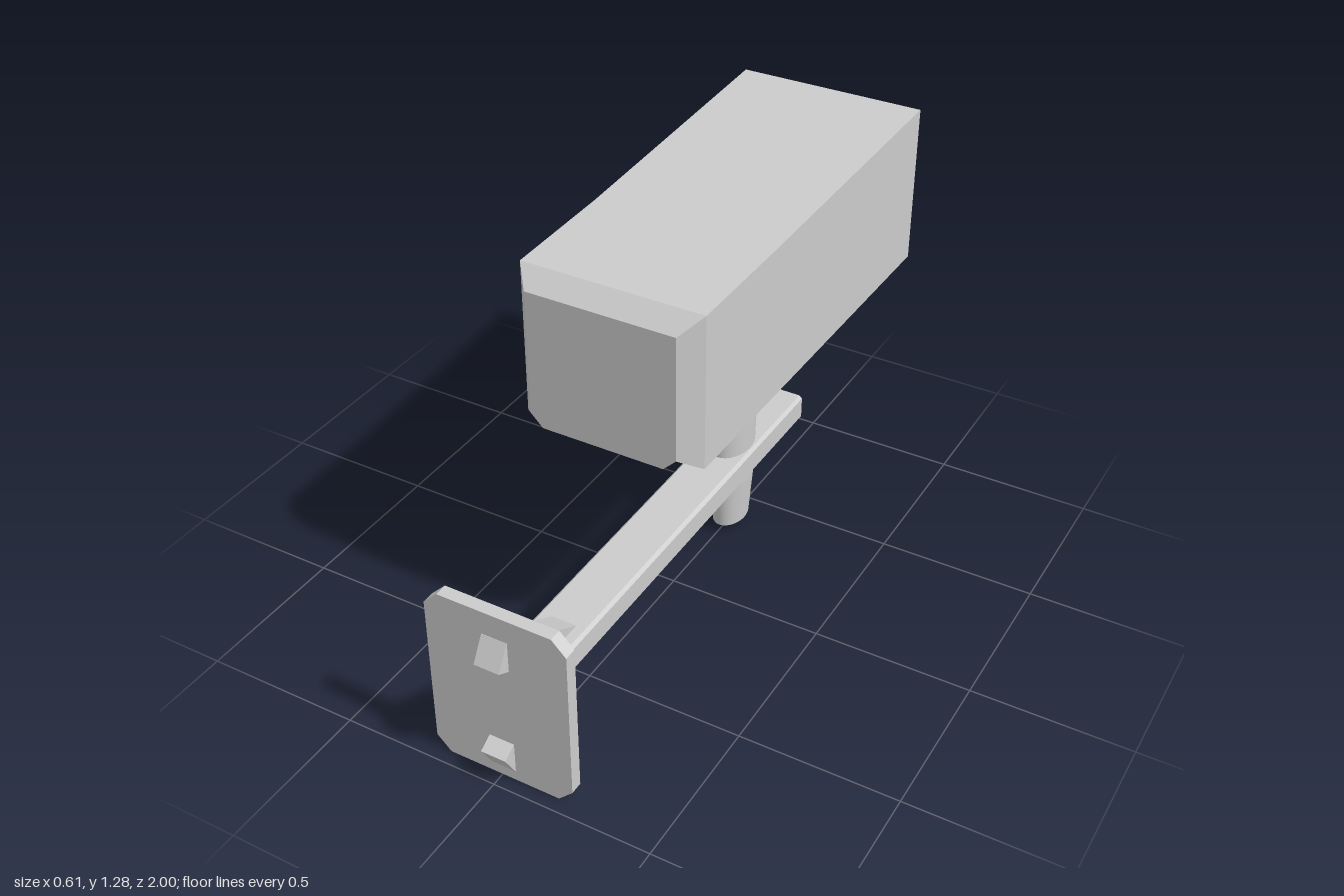
import * as THREE from 'three';

const material = new THREE.MeshStandardMaterial({ color: 0xcccccc });
const sheet = new THREE.MeshStandardMaterial({ color: 0xcccccc, side: THREE.DoubleSide });

function add(parent, name, geometry, mat = material) {
  const mesh = new THREE.Mesh(geometry, mat);
  mesh.name = name;
  parent.add(mesh);
  return mesh;
}

const toShape = (pts) => new THREE.Shape(pts.map(([x, y]) => new THREE.Vector2(x, y)));

// Rectangle with cut corners, counterclockwise; top corners may stay square
function cutRect(x0, x1, y0, y1, c, top = c) {
  const pts = [[x0, y0 + c], [x0 + c, y0], [x1 - c, y0], [x1, y0 + c]];
  if (top > 0) pts.push([x1, y1 - top], [x1 - top, y1], [x0 + top, y1], [x0, y1 - top]);
  else pts.push([x1, y1], [x0, y1]);
  return pts;
}

// Flat-faced skin through cross-sections ordered from front to back
function loft(sections, closed) {
  const v = [];
  for (let s = 0; s + 1 < sections.length; s++) {
    const [a, b] = [sections[s], sections[s + 1]];
    const n = a.pts.length;
    for (let i = 0; i < (closed ? n : n - 1); i++) {
      const j = (i + 1) % n;
      const [ai, aj] = [[...a.pts[i], a.z], [...a.pts[j], a.z]];
      const [bi, bj] = [[...b.pts[i], b.z], [...b.pts[j], b.z]];
      v.push(...ai, ...bi, ...bj, ...ai, ...bj, ...aj);
    }
  }
  const g = new THREE.BufferGeometry();
  g.setAttribute('position', new THREE.Float32BufferAttribute(v, 3));
  g.computeVertexNormals();
  return g;
}

function extrude(pts, z0, z1) {
  const g = new THREE.ExtrudeGeometry(toShape(pts), { depth: z1 - z0, bevelEnabled: false });
  return g.translate(0, 0, z0);
}

export function createModel() {
  const model = new THREE.Group();
  model.name = 'securityCamera';

  // Wall plate and horizontal arm
  add(model, 'wallPlate', extrude(cutRect(-0.22, 0.23, 0, 0.58, 0.045), 0.915, 0.955));
  add(model, 'arm', extrude(cutRect(-0.08, 0.085, 0.225, 0.315, 0.01), -0.71, 0.92));

  // Diagonal braces, mirrored above and below the arm, poking through the plate
  for (const side of [1, -1]) {
    const profile = [[1.0, 0.16], [0.957, 0.235], [0.55, 0.0], [0.72, 0.0]]
      .map(([z, h]) => [-z, 0.27 + side * h]);
    const g = new THREE.ExtrudeGeometry(toShape(profile), { depth: 0.08, bevelEnabled: false });
    g.rotateY(Math.PI / 2).translate(-0.035, 0, 0);
    add(model, side > 0 ? 'upperBrace' : 'lowerBrace', g);
  }

  // Oval tapered post, in stacked segments
  const post = new THREE.Group();
  post.name = 'post';
  post.position.set(0.006, 0, -0.367);
  post.scale.x = 0.66;
  model.add(post);
  const steps = [[0.03, 0.078], [0.19, 0.094], [0.31, 0.098], [0.82, 0.112]];
  for (let i = 0; i < 3; i++) {
    const [[y0, r0], [y1, r1]] = [steps[i], steps[i + 1]];
    const g = new THREE.CylinderGeometry(r1, r0, y1 - y0, 32, 1, i > 0);
    add(post, 'postSegment', g.translate(0, (y0 + y1) / 2, 0));
  }

  // Housing with chamfered lower edges
  const zFront = 0.425, zBack = -0.896;
  const front = cutRect(-0.215, 0.25, 0.79, 1.22, 0.04, 0);
  const back = cutRect(-0.25, 0.245, 0.782, 1.24, 0.045, 0);
  const housing = new THREE.Group();
  housing.name = 'housing';
  model.add(housing);
  add(housing, 'housingShell', loft([{ z: zFront, pts: front }, { z: zBack, pts: back }], true));
  add(housing, 'housingFront', new THREE.ShapeGeometry(toShape(front)).translate(0, 0, zFront));

  // Lens end with a recessed window
  const opening = [[-0.18, 0.86], [0.18, 0.86], [0.18, 1.165], [-0.18, 1.165]];
  const face = toShape(back);
  face.holes.push(toShape(opening));
  add(housing, 'lensFrame', new THREE.ShapeGeometry(face).translate(0, 0, zBack), sheet);
  const zPane = zBack + 0.05;
  add(housing, 'windowRecess', loft([{ z: zPane, pts: opening }, { z: zBack, pts: opening }], true), sheet);
  add(housing, 'windowPane', new THREE.ShapeGeometry(toShape(opening)).translate(0, 0, zPane), sheet);

  // Thin hood, open below and over the lens, tapering in to the housing front
  const hood = [
    [zFront, -0.215, 0.25, 0.83, 1.22],
    [0.36, -0.268, 0.302, 0.782, 1.267],
    [-0.03, -0.274, 0.302, 0.778, 1.268],
    [-1, -0.305, 0.303, 0.767, 1.284],
  ].map(([z, x0, x1, y0, y1]) => ({ z, pts: [[x1, y0], [x1, y1], [x0, y1], [x0, y0]] }));
  add(model, 'hood', loft(hood, false), sheet);

  return model;
}
